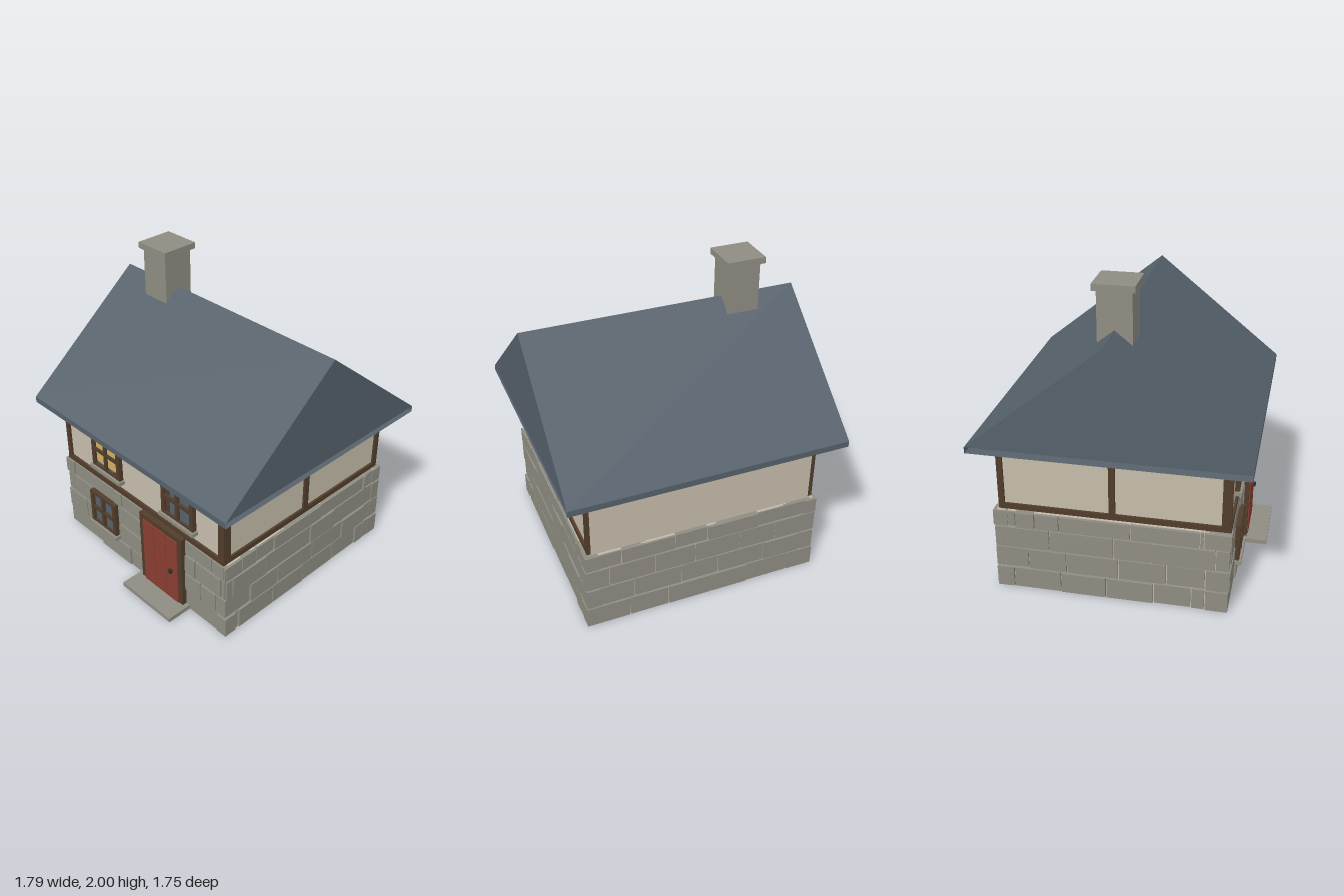
import * as THREE from 'three';

const mat = (name, color, extra = {}) => {
  const m = new THREE.MeshStandardMaterial({ color, ...extra });
  m.name = name;
  return m;
};

export function createModel() {
  const house = new THREE.Group();
  house.name = 'cottage';
  const stone = mat('stone', 0x8f8d82);
  const mortar = mat('mortar', 0xc0b7a6);
  const plaster = mat('plaster', 0xc6bdac);
  const timber = mat('timber', 0x513d2b);
  const slate = mat('slate', 0x56616b, { side: THREE.DoubleSide });
  const doorRed = mat('doorRed', 0x8a3e31);
  const glass = mat('glass', 0x55616b);
  const lamplight = mat('lamplight', 0xd2b064);
  const iron = mat('iron', 0x38302a);

  // box given by its low and high limits on each axis
  const box = (parent, name, material, x0, x1, y0, y1, z0, z1) => {
    const m = new THREE.Mesh(new THREE.BoxGeometry(x1 - x0, y1 - y0, z1 - z0), material);
    m.position.set((x0 + x1) / 2, (y0 + y1) / 2, (z0 + z1) / 2);
    m.name = name;
    parent.add(m);
    return m;
  };
  const part = (name, parent = house) => {
    const g = new THREE.Group();
    g.name = name;
    parent.add(g);
    return g;
  };
  let seed = 7;
  const rand = () => (seed = (seed * 16807) % 2147483647) / 2147483647;

  // ground floor: a hollow ring of coursed stone over a thin mortar wall
  const base = part('stoneBase');
  const rows = [[0, 0.138], [0.15, 0.287], [0.297, 0.436], [0.447, 0.55]];
  const FRONT = 0.7, BACK = -0.76, SIDE = 0.775;
  box(base, 'mortarFrontLeft', mortar, 0.42, 0.765, 0.002, 0.55, 0.64, 0.692);
  box(base, 'mortarFrontRight', mortar, -0.765, 0.05, 0.002, 0.55, 0.64, 0.692);
  box(base, 'mortarBack', mortar, -0.765, 0.765, 0.002, 0.55, -0.752, -0.7);
  for (const s of [-1, 1]) {
    const a = s * 0.765, b = s * 0.713;
    box(base, 'mortarSide', mortar, Math.min(a, b), Math.max(a, b), 0.002, 0.55, -0.752, 0.692);
  }
  const course = (joints, fn) => {
    for (let i = 0; i + 1 < joints.length; i++) fn(joints[i] + 0.004, joints[i + 1] - 0.004, rand() * 0.013);
  };
  const frontRight = [
    [-0.79, -0.43, -0.12, 0.04], [-0.785, -0.585, -0.23, 0.04],
    [-0.785, -0.725, -0.49, -0.01, 0.04], [-0.79, -0.695, -0.275, -0.19, 0.04]];
  const frontLeft = [
    [0.42, 0.705, 0.79], [0.42, 0.565, 0.7, 0.78],
    [0.42, 0.515, 0.74, 0.775], [0.42, 0.66, 0.765, 0.785]];
  const sideJoints = [
    [-0.77, -0.625, -0.54, -0.305, -0.005, 0.285, 0.59, 0.705],
    [-0.775, -0.625, -0.385, -0.085, 0.245, 0.49, 0.705],
    [-0.765, -0.685, -0.295, -0.055, 0.35, 0.645, 0.7],
    [-0.77, -0.61, -0.585, -0.16, 0.285, 0.44, 0.565, 0.7]];
  const backJoints = [
    [-0.79, -0.6, -0.31, -0.05, 0.24, 0.5, 0.79], [-0.78, -0.68, -0.42, -0.1, 0.15, 0.47, 0.785],
    [-0.785, -0.5, -0.25, 0.06, 0.33, 0.63, 0.78], [-0.785, -0.7, -0.37, -0.02, 0.2, 0.55, 0.785]];
  rows.forEach(([y0, y1], r) => {
    for (const j of [frontRight[r], frontLeft[r]])
      course(j, (a, b, d) => box(base, 'frontStone', stone, a, b, y0, y1, 0.62, FRONT + d));
    course(backJoints[r], (a, b, d) => box(base, 'backStone', stone, a, b, y0, y1, BACK - d, -0.68));
    course(sideJoints[r], (a, b, d) => box(base, 'leftStone', stone, 0.695, SIDE + d, y0, y1, a, b));
    // the other side wall runs the same pattern in reverse
    course(sideJoints[r].map(z => -0.067 - z).reverse(), (a, b, d) =>
      box(base, 'rightStone', stone, -SIDE - d, -0.695, y0, y1, a, b));
  });

  // plastered upper floor
  box(house, 'upperWalls', plaster, -0.745, 0.745, 0.55, 1.05, -0.735, 0.685);

  // timber frame on the front and both sides
  const frame = part('timberFrame');
  box(frame, 'frontSillBeam', timber, -0.76, 0.76, 0.56, 0.597, 0.67, 0.702);
  box(frame, 'frontTopBeam', timber, -0.76, 0.76, 1.0, 1.04, 0.67, 0.702);
  for (const [a, b] of [[-0.76, -0.724], [0.71, 0.76], [-0.26, -0.22], [0.248, 0.288]])
    box(frame, 'frontPost', timber, a, b, 0.597, 1.0, 0.67, 0.7);
  for (const s of [-1, 1]) {
    const x0 = s > 0 ? 0.735 : -0.76, x1 = x0 + 0.025;
    box(frame, 'sideSillBeam', timber, x0, x1, 0.56, 0.597, -0.737, 0.69);
    box(frame, 'sideTopBeam', timber, x0, x1, 1.0, 1.04, -0.737, 0.69);
    for (const [a, b] of [[0.642, 0.69], [-0.042, -0.003], [-0.737, -0.7]])
      box(frame, 'sidePost', timber, x0, x1, 0.597, 1.0, a, b);
  }

  // windows: glass, four frame bars, a cross of glazing bars and a stone sill
  const addWindow = (name, cx, cy, w, h, z, lit) => {
    const g = part(name);
    g.position.set(cx, cy, z);
    const W = w / 2, H = h / 2, t = 0.031;
    box(g, 'glass', glass, -W + 0.01, W - 0.01, -H + 0.01, H - 0.01, -0.02, 0.014);
    if (lit) box(g, 'litPane', lamplight, -W + 0.037, W - 0.037, -H + 0.042, H - 0.02, 0.015, 0.019);
    for (const s of [-1, 1]) {
      box(g, 'frameSide', timber, s * (W - t / 2) - t / 2, s * (W - t / 2) + t / 2, -H, H, -0.02, 0.03);
      box(g, 'frameRail', timber, -W, W, s * (H - 0.01) - 0.01, s * (H - 0.01) + 0.01, -0.02, 0.029);
    }
    box(g, 'uprightBar', timber, -0.012, 0.012, -H + 0.02, H - 0.02, 0, 0.034);
    box(g, 'crossBar', timber, -W + t, W - t, -0.012, 0.012, 0, 0.032);
    box(g, 'sill', stone, -W - 0.013, W + 0.013, -H - 0.022, -H + 0.004, -0.02, 0.045);
  };
  addWindow('litUpperWindow', -0.322, 0.808, 0.28, 0.28, 0.685, true);
  addWindow('darkUpperWindow', 0.367, 0.808, 0.285, 0.28, 0.685, false);
  addWindow('lowerWindow', -0.367, 0.316, 0.262, 0.258, 0.705, false);

  // front door of three planks, with frame, handle and step
  const door = part('frontDoor');
  box(door, 'doorPostRight', timber, 0.032, 0.066, 0.03, 0.565, 0.62, 0.737);
  box(door, 'doorPostLeft', timber, 0.39, 0.425, 0.03, 0.565, 0.62, 0.737);
  box(door, 'lintel', timber, 0.032, 0.425, 0.532, 0.567, 0.62, 0.738);
  box(door, 'doorPanel', doorRed, 0.06, 0.395, 0.03, 0.535, 0.68, 0.728);
  for (let i = 0; i < 3; i++)
    box(door, 'plank', doorRed, 0.066 + i * 0.108 + 0.002, 0.066 + (i + 1) * 0.108 - 0.002, 0.03, 0.53, 0.72, 0.744);
  box(door, 'handle', iron, 0.32, 0.345, 0.258, 0.285, 0.74, 0.762);
  box(door, 'doorstep', stone, 0, 0.455, 0, 0.03, 0.7, 0.878);

  // roof: slopes, gables, eave boards and a flat soffit, open at the ends below the gables
  const X = 0.897, ZF = 0.82, ZB = -0.873, ZR = -0.027, RIDGE = 1.727, EAVE = 1.04, LOW = 1.0;
  const roof = part('roof');
  const sheet = (name, ...pts) => {
    const pos = [];
    for (let i = 1; i + 1 < pts.length; i++) pos.push(...pts[0], ...pts[i], ...pts[i + 1]);
    const geo = new THREE.BufferGeometry();
    geo.setAttribute('position', new THREE.Float32BufferAttribute(pos, 3));
    geo.computeVertexNormals();
    const m = new THREE.Mesh(geo, slate);
    m.name = name;
    roof.add(m);
  };
  sheet('frontSlope', [-X, EAVE, ZF], [X, EAVE, ZF], [X, RIDGE, ZR], [-X, RIDGE, ZR]);
  sheet('backSlope', [X, EAVE, ZB], [-X, EAVE, ZB], [-X, RIDGE, ZR], [X, RIDGE, ZR]);
  sheet('leftGable', [X, EAVE, ZF], [X, EAVE, ZB], [X, RIDGE, ZR]);
  sheet('rightGable', [-X, EAVE, ZB], [-X, EAVE, ZF], [-X, RIDGE, ZR]);
  sheet('frontEave', [-X, LOW, ZF], [X, LOW, ZF], [X, EAVE, ZF], [-X, EAVE, ZF]);
  sheet('backEave', [X, LOW, ZB], [-X, LOW, ZB], [-X, EAVE, ZB], [X, EAVE, ZB]);
  sheet('soffit', [-X, LOW, ZB], [X, LOW, ZB], [X, LOW, ZF], [-X, LOW, ZF]);

  // chimney through the ridge
  const chimney = part('chimney');
  box(chimney, 'chimneyStack', stone, -0.61, -0.405, 1.4, 1.965, -0.13, 0.08);
  box(chimney, 'chimneyCap', stone, -0.634, -0.381, 1.96, 2.0, -0.153, 0.1);

  return house;
}
